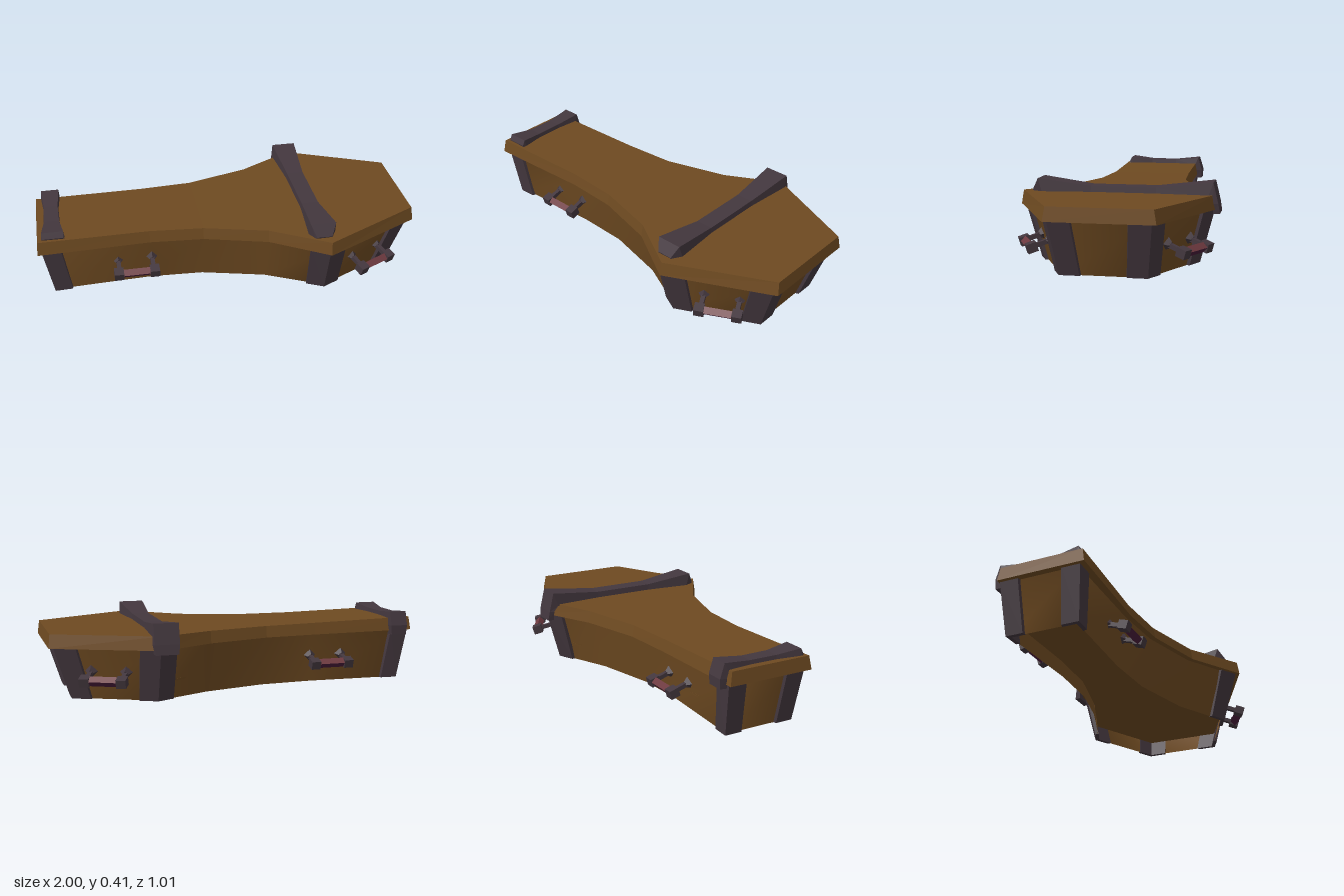
import * as THREE from 'three';
import { mergeVertices } from 'three/addons/utils/BufferGeometryUtils.js';

const V = (x, y, z) => new THREE.Vector3(x, y, z);

// Joins rings of equal point count; end caps pair point i with point n-1-i.
function loft(rings, capped = true) {
  const tris = [], n = rings[0].length;
  const quad = (a, b, c, d) => tris.push([a, b, c], [a, c, d]);
  for (let r = 0; r < rings.length - 1; r++) {
    for (let i = 0; i < n; i++) {
      const j = (i + 1) % n;
      quad(rings[r][i], rings[r][j], rings[r + 1][j], rings[r + 1][i]);
    }
  }
  if (capped) {
    const first = rings[0], last = rings[rings.length - 1];
    for (let i = 0; i < n / 2 - 1; i++) {
      quad(first[n - 1 - i], first[n - 2 - i], first[i + 1], first[i]);
      quad(last[i], last[i + 1], last[n - 2 - i], last[n - 1 - i]);
    }
  }
  // Turn the faces outward
  const volume = tris.reduce((s, [a, b, c]) => s + a.dot(b.clone().cross(c)), 0);
  const points = tris.flatMap(([a, b, c]) => (volume < 0 ? [a, c, b] : [a, b, c]));
  const geometry = new THREE.BufferGeometry().setFromPoints(points);
  geometry.computeVertexNormals();
  return geometry;
}

// Stations [x, back z, front z, y] become a closed outline
const outline = (stations, y) => [
  ...stations.map(([x, , f, h]) => V(x, h ?? y, f)),
  ...[...stations].reverse().map(([x, b, , h]) => V(x, h ?? y, b)),
];

export function createModel() {
  const model = new THREE.Group();
  const wood = new THREE.MeshStandardMaterial({ color: 0x6e4a21, flatShading: true });
  const wallWood = new THREE.MeshStandardMaterial({ color: 0x6e4a21, side: THREE.DoubleSide });
  const iron = new THREE.MeshStandardMaterial({ color: 0x43373e, flatShading: true });
  const grip = new THREE.MeshStandardMaterial({ color: 0x6e3a40, flatShading: true });
  const gripShade = new THREE.MeshStandardMaterial({ color: 0x4a1c3a, flatShading: true });
  wood.name = 'wood';
  wallWood.name = 'wall wood';
  iron.name = 'dark iron';
  grip.name = 'red grip';
  gripShade.name = 'purple grip underside';

  const add = (parent, name, geometry, material) => {
    const mesh = new THREE.Mesh(geometry, material);
    mesh.name = name;
    parent.add(mesh);
    return mesh;
  };

  // Flared walls
  const base = outline([
    [-0.915, -0.185, 0.165], [-0.42, -0.165, 0.142], [-0.14, -0.18, 0.156],
    [0.19, -0.262, 0.24], [0.48, -0.392, 0.385], [0.868, -0.208, 0.195],
  ], 0);
  const rim = outline([
    [-0.965, -0.205, 0.19], [-0.42, -0.21, 0.185], [-0.14, -0.23, 0.205],
    [0.19, -0.315, 0.295], [0.48, -0.465, 0.465], [0.955, -0.24, 0.23],
  ], 0.275);
  const walls = loft([base, rim], false);
  walls.deleteAttribute('normal');
  const smoothWalls = mergeVertices(walls);
  smoothWalls.computeVertexNormals();
  add(model, 'walls', smoothWalls, wallWood);

  // Floor board, raised above the lower edge of the walls and set just inside them
  const level = (t) => base.map((p, i) =>
    p.clone().lerp(rim[i], t).add(V(-0.004 * Math.sign(p.x), 0, -0.005 * Math.sign(p.z))));
  add(model, 'floor', loft([level(0.33), level(0.37)]), wood);

  // Lid with a slightly sunken middle and sloping edges
  const lidStations = [
    [-1, -0.225, 0.235], [-0.42, -0.245, 0.215], [-0.14, -0.265, 0.235],
    [0.19, -0.355, 0.325], [0.48, -0.5, 0.505], [1, -0.275, 0.25],
  ];
  const lidHeights = [0.34, 0.332, 0.33, 0.333, 0.34, 0.34];
  const lidTop = lidStations.map(([x, b, f], i) => [
    THREE.MathUtils.clamp(x, -0.992, 0.992), b + 0.012, f - 0.012, lidHeights[i],
  ]);
  add(model, 'lid', loft([outline(lidStations, 0.27), outline(lidTop)]), wood);

  // Bent iron posts around the six corners
  const postRing = (points, i, arm) => {
    const n = points.length, corner = points[i];
    const a = points[(i + n - 1) % n].clone().sub(corner).normalize();
    const b = points[(i + 1) % n].clone().sub(corner).normalize();
    const t = 0.016;
    const outA = V(a.z, 0, -a.x), outB = V(-b.z, 0, b.x);
    const miter = outA.clone().add(outB);
    miter.multiplyScalar((2 * t) / miter.lengthSq());
    const at = (dir, length, out, depth) =>
      corner.clone().addScaledVector(dir, length).addScaledVector(out, depth);
    return [
      at(a, arm, outA, -0.005), at(miter, -0.3, a, 0), at(b, arm, outB, -0.005),
      at(b, arm - 0.006, outB, t), at(miter, 1, a, 0), at(a, arm - 0.006, outA, t),
    ];
  };
  const posts = { footPost: [0, 11], shoulderPost: [4, 7], headPost: [5, 6] };
  for (const [name, corners] of Object.entries(posts)) {
    const arm = name === 'footPost' ? 0.08 : 0.095;
    for (const i of corners) {
      add(model, name, loft([postRing(base, i, arm), postRing(rim, i, arm * 1.1)]), iron);
    }
  }

  // Iron straps over the lid, waisted in the middle and hooked over the back edge
  // Each station: outer z, outer y, inner z, inner y, half width
  const strap = (name, x, stations) => {
    const rings = stations.map(([zo, yo, zi, yi, w]) => [
      V(x - w, yi, zi), V(x - w + 0.005, yo, zo), V(x + w - 0.005, yo, zo), V(x + w, yi, zi),
    ]);
    add(model, name, loft(rings), iron);
  };
  strap('shoulderStrap', 0.453, [
    [0.442, 0.345, 0.435, 0.33, 0.045], [0.408, 0.405, 0.385, 0.33, 0.071],
    [0.14, 0.37, 0.14, 0.32, 0.05], [-0.19, 0.37, -0.19, 0.32, 0.05],
    [-0.475, 0.403, -0.45, 0.33, 0.069], [-0.5, 0.3, -0.475, 0.3, 0.069],
    [-0.508, 0.25, -0.475, 0.25, 0.062],
  ]);
  strap('footStrap', -0.915, [
    [0.205, 0.345, 0.2, 0.33, 0.061], [0.19, 0.375, 0.18, 0.33, 0.061],
    [0.06, 0.36, 0.06, 0.32, 0.044], [-0.09, 0.36, -0.09, 0.32, 0.042],
    [-0.235, 0.375, -0.215, 0.33, 0.052], [-0.258, 0.3, -0.225, 0.3, 0.052],
    [-0.255, 0.25, -0.215, 0.25, 0.048],
  ]);

  // Carrying handles, leaning with the walls: grip on edge, end blocks, arms, diamond wall plates
  const gripFaces = [grip, grip, grip, gripShade, gripShade, grip];
  const lean = 0.3;
  const handle = (name, x, z, angle) => {
    const g = new THREE.Group();
    g.name = name;
    const bar = add(g, 'grip', new THREE.BoxGeometry(0.14, 0.035, 0.035), gripFaces);
    bar.rotation.x = Math.PI / 4 - lean;
    for (const side of [-1, 1]) {
      const block = add(g, 'endBlock', new THREE.BoxGeometry(0.05, 0.045, 0.05), iron);
      block.position.x = side * 0.094;
      const arm = add(g, 'arm', new THREE.BoxGeometry(0.022, 0.022, 0.09), iron);
      arm.position.set(side * 0.09, 0.001, -0.05);
      const plate = add(g, 'wallPlate', new THREE.CylinderGeometry(0.016, 0.033, 0.024, 4), iron);
      plate.position.set(side * 0.09, 0.003, -0.088);
      plate.rotation.x = Math.PI / 2;
    }
    g.position.set(x, 0.119, z);
    g.rotation.set(lean, angle, 0, 'YXZ');
    model.add(g);
  };
  handle('frontFootHandle', -0.5, 0.257, 0);
  handle('backFootHandle', -0.5, -0.288, Math.PI);
  handle('frontHeadHandle', 0.757, 0.39, 0.47);
  handle('backHeadHandle', 0.755, -0.417, Math.PI - 0.47);

  return model;
}
